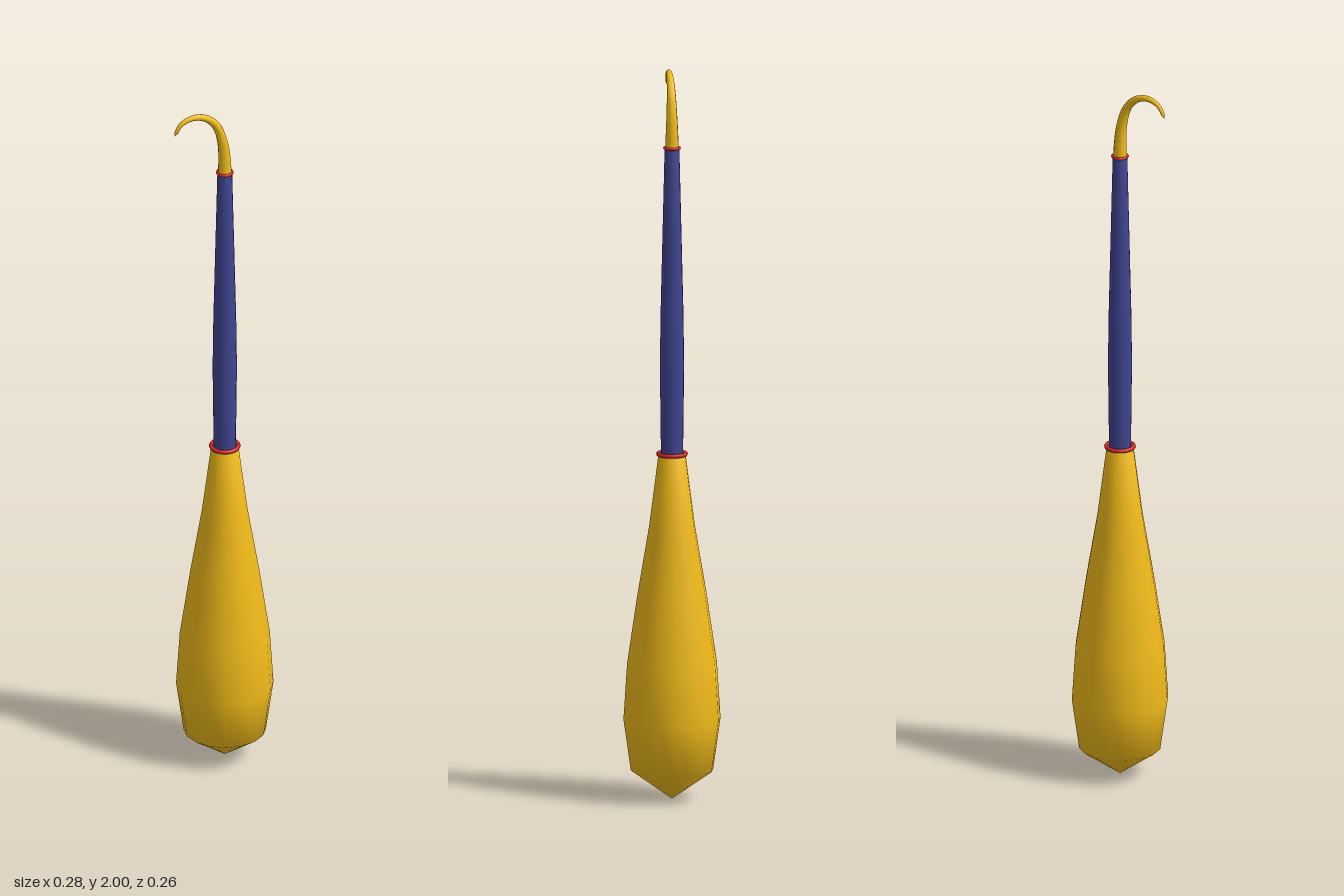
import * as THREE from 'three';

const SIDES = 16;
const gold = new THREE.MeshStandardMaterial({ color: 0xf2bc1a });
const blue = new THREE.MeshStandardMaterial({ color: 0x404591 });
const red = new THREE.MeshStandardMaterial({ color: 0xd02828 });

function add(group, name, geometry, material, y = 0) {
  const mesh = new THREE.Mesh(geometry, material);
  mesh.name = name;
  mesh.position.y = y;
  group.add(mesh);
}

function lathe(profile) {
  return new THREE.LatheGeometry(profile.map(([r, y]) => new THREE.Vector2(r, y)), SIDES);
}

function ring(radius, thickness) {
  return new THREE.TorusGeometry(radius, thickness, 8, 24).rotateX(Math.PI / 2);
}

// Tube whose rings shrink from r0 to r1, the last one closing to a point
function taperedTube(points, r0, r1, segments, sides) {
  const curve = new THREE.CatmullRomCurve3(points.map(([x, y]) => new THREE.Vector3(x, y, 0)));
  const geometry = new THREE.TubeGeometry(curve, segments, 1, sides);
  const pos = geometry.attributes.position;
  const v = new THREE.Vector3();
  for (let i = 0; i <= segments; i++) {
    // the last two rings share a centre so that the tip is capped
    const t = i === segments ? 1 : i / (segments - 1);
    const centre = curve.getPointAt(i / segments);
    const radius = i === segments ? 0 : THREE.MathUtils.lerp(r0, r1, t);
    for (let j = 0; j <= sides; j++) {
      const k = i * (sides + 1) + j;
      v.fromBufferAttribute(pos, k).sub(centre).multiplyScalar(radius).add(centre);
      pos.setXYZ(k, v.x, v.y, v.z);
    }
  }
  geometry.computeVertexNormals();
  // blend the normals across the tube seam
  const nor = geometry.attributes.normal;
  const a = new THREE.Vector3(), b = new THREE.Vector3();
  for (let i = 0; i < segments; i++) {
    const k = i * (sides + 1);
    a.fromBufferAttribute(nor, k).add(b.fromBufferAttribute(nor, k + sides)).normalize();
    nor.setXYZ(k, a.x, a.y, a.z);
    nor.setXYZ(k + sides, a.x, a.y, a.z);
  }
  return geometry;
}

export function createModel() {
  const group = new THREE.Group();
  group.name = 'hookedTool';

  // Bulbous handle with a pointed butt
  add(group, 'handle', lathe([
    [0, 0.003], [0.112, 0.083], [0.132, 0.225], [0.122, 0.38],
    [0.094, 0.57], [0.062, 0.76], [0.037, 0.955], [0, 0.955],
  ]), gold);

  // Slightly swollen, tapering shaft
  add(group, 'shaft', lathe([
    [0.03, 0.95], [0.033, 1.2], [0.031, 1.35], [0.025, 1.6], [0.02, 1.805], [0, 1.805],
  ]), blue);

  // Collars at both ends of the shaft
  add(group, 'lowerCollar', ring(0.037, 0.006), red, 0.957);
  add(group, 'upperCollar', ring(0.02, 0.004), red, 1.803);

  // Curved hook, thinning to its tip
  add(group, 'hook', taperedTube([
    [0, 1.795], [-0.001, 1.85], [-0.007, 1.9], [-0.024, 1.95], [-0.055, 1.982],
    [-0.095, 1.992], [-0.13, 1.979], [-0.149, 1.948],
  ], 0.019, 0.005, 32, 12), gold);

  // The hook overhangs to one side, so the axis sits a little off centre
  group.children.forEach((mesh) => { mesh.position.x = 0.01; });
  return group;
}
